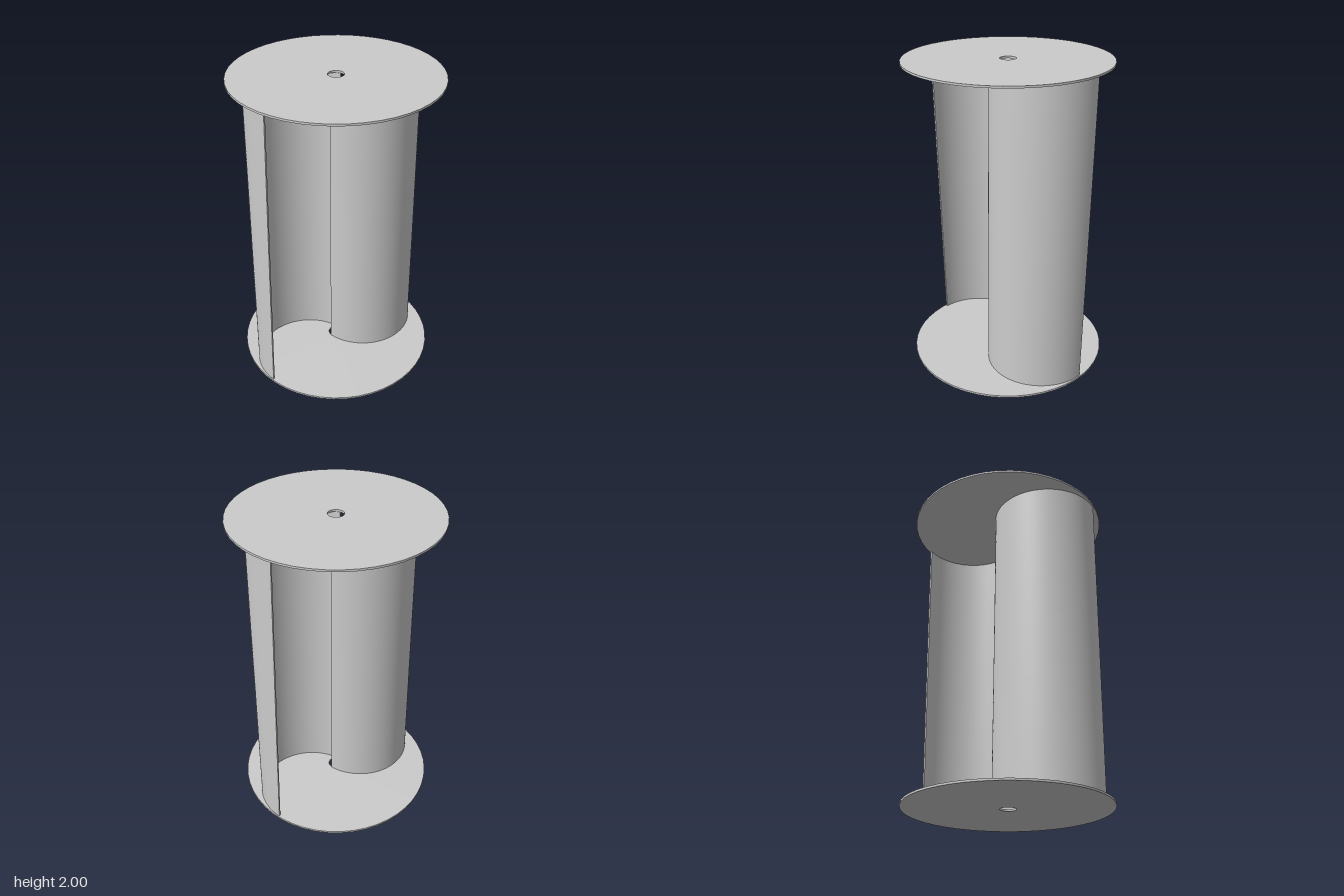
import * as THREE from 'three';
import { toCreasedNormals } from 'three/addons/utils/BufferGeometryUtils.js';

const HEIGHT = 2, PLATE = 0.013;
const DISC_R = 0.643, HOLE_R = 0.05;
const BLADE_R = 0.3455, BLADE_T = 0.011, BLADE_X = 0.2895;
const TWIST = THREE.MathUtils.degToRad(5);

// Thin end plate with a shaft hole
function discGeometry() {
  const profile = [[HOLE_R, 0], [DISC_R, 0], [DISC_R, PLATE], [HOLE_R, PLATE], [HOLE_R, 0]]
    .map(([r, y]) => new THREE.Vector2(r, y));
  return toCreasedNormals(new THREE.LatheGeometry(profile, 48), 0.6);
}

// Half-cylinder scoop, slightly twisted about the shaft from bottom to top
function bladeGeometry() {
  const h = HEIGHT - 2 * PLATE;
  const shape = new THREE.Shape();
  shape.absarc(BLADE_X, 0, BLADE_R, Math.PI, 2 * Math.PI, false);
  shape.absarc(BLADE_X, 0, BLADE_R - BLADE_T, 2 * Math.PI, Math.PI, true);
  shape.closePath();
  const geo = new THREE.ExtrudeGeometry(shape, { depth: h, steps: 12, curveSegments: 32, bevelEnabled: false });
  geo.rotateX(-Math.PI / 2);
  const pos = geo.attributes.position;
  const v = new THREE.Vector3();
  const up = new THREE.Vector3(0, 1, 0);
  for (let i = 0; i < pos.count; i++) {
    v.fromBufferAttribute(pos, i).applyAxisAngle(up, TWIST * (v.y / h - 0.5));
    pos.setXYZ(i, v.x, v.y, v.z);
  }
  return toCreasedNormals(geo, 0.6);
}

export function createModel() {
  const group = new THREE.Group();
  group.name = 'verticalAxisRotor';
  const material = new THREE.MeshStandardMaterial({ color: 0xcccccc });
  const add = (name, geo, y, turn = 0) => {
    const mesh = new THREE.Mesh(geo, material);
    mesh.name = name;
    mesh.position.y = y;
    mesh.rotation.y = turn;
    group.add(mesh);
  };

  // End plates
  const disc = discGeometry();
  add('bottomPlate', disc, 0);
  add('topPlate', disc, HEIGHT - PLATE);

  // Two overlapping scoops, half a turn apart
  const blade = bladeGeometry();
  add('frontBlade', blade, PLATE);
  add('backBlade', blade, PLATE, Math.PI);
  return group;
}
